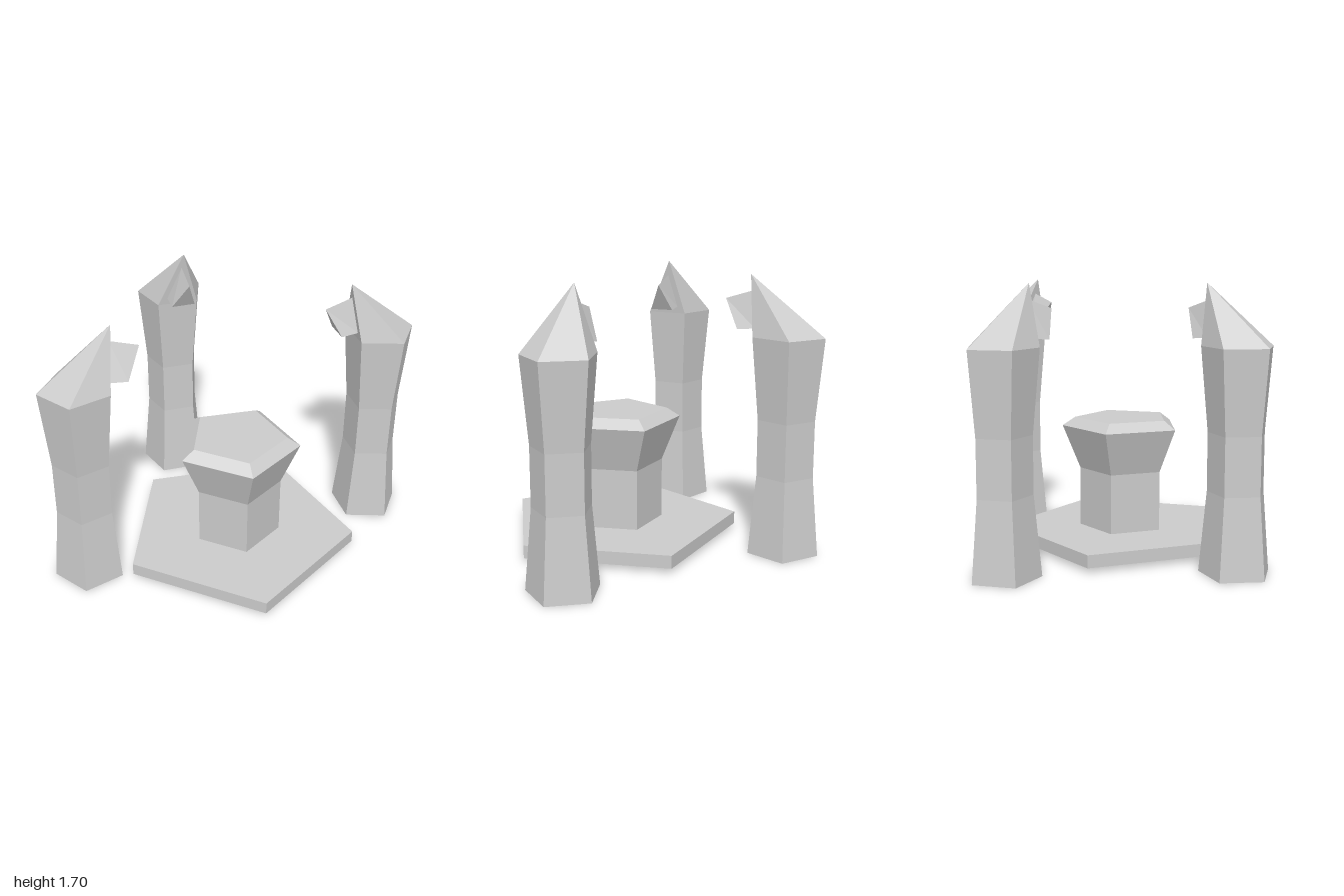
import * as THREE from 'three';

const rad = THREE.MathUtils.degToRad;
const stone = new THREE.MeshStandardMaterial({ color: 0xcccccc, flatShading: true, side: THREE.DoubleSide });

// Five-sided turned shape from [radius, height] pairs
function pentagonLathe(profile, startDegrees) {
  const points = profile.map(([r, y]) => new THREE.Vector2(r, y));
  return new THREE.LatheGeometry(points, 5, rad(startDegrees));
}

function part(name, geometry) {
  geometry.computeVertexNormals();
  const mesh = new THREE.Mesh(geometry, stone);
  mesh.name = name;
  return mesh;
}

// Waisted pillar whose pointed top leans inward
function pillarGeometry() {
  const geometry = pentagonLathe(
    [[0.223, 0], [0.178, 0.49], [0.178, 0.84], [0.223, 1.34], [0, 1.7]], 68);
  const p = geometry.attributes.position;
  for (let i = 0; i < p.count; i++) {
    if (p.getY(i) > 1.6) p.setXYZ(i, -0.122, 1.7, 0.199);
  }
  return geometry;
}

// Three-sided spur growing from the pillar's inner top face
function spurGeometry() {
  const root = [[-0.119, 1.605, 0.177], [-0.172, 1.385, 0.097], [-0.058, 1.385, 0.192]];
  const tip = [[-0.228, 1.55, 0.315], [-0.243, 1.375, 0.185], [-0.123, 1.375, 0.28]];
  const index = [3, 4, 5];
  for (let i = 0; i < 3; i++) {
    const j = (i + 1) % 3;
    index.push(i, j, j + 3, i, j + 3, i + 3);
  }
  const geometry = new THREE.BufferGeometry();
  geometry.setAttribute('position', new THREE.Float32BufferAttribute([...root, ...tip].flat(), 3));
  geometry.setIndex(index);
  return geometry;
}

export function createModel() {
  const model = new THREE.Group();
  model.name = 'stoneShrine';

  // Slab and hollow pedestal share one axis and stay open underneath
  const altar = new THREE.Group();
  altar.name = 'altar';
  altar.position.set(0.184, 0, 0.04);
  altar.add(part('slab', pentagonLathe(
    [[0.28, 0.03], [0.763, 0.03], [0.763, 0.11], [0.28, 0.11]], 46.5)));
  altar.add(part('pedestal', pentagonLathe(
    [[0.28, 0.03], [0.28, 0.49], [0.394, 0.77], [0.312, 0.825], [0, 0.825]], 46.5)));
  model.add(altar);

  // Three standing pillars, each a quarter turn from the last
  const places = [
    ['backLeftPillar', 0.697, -0.809],
    ['backRightPillar', -0.72, -0.528],
    ['frontRightPillar', -0.431, 0.803],
  ];
  places.forEach(([name, x, z], i) => {
    const pillar = new THREE.Group();
    pillar.name = name;
    pillar.add(part('shaft', pillarGeometry()), part('spur', spurGeometry()));
    pillar.position.set(x, 0, z);
    pillar.rotation.y = i * Math.PI / 2;
    model.add(pillar);
  });

  return model;
}
